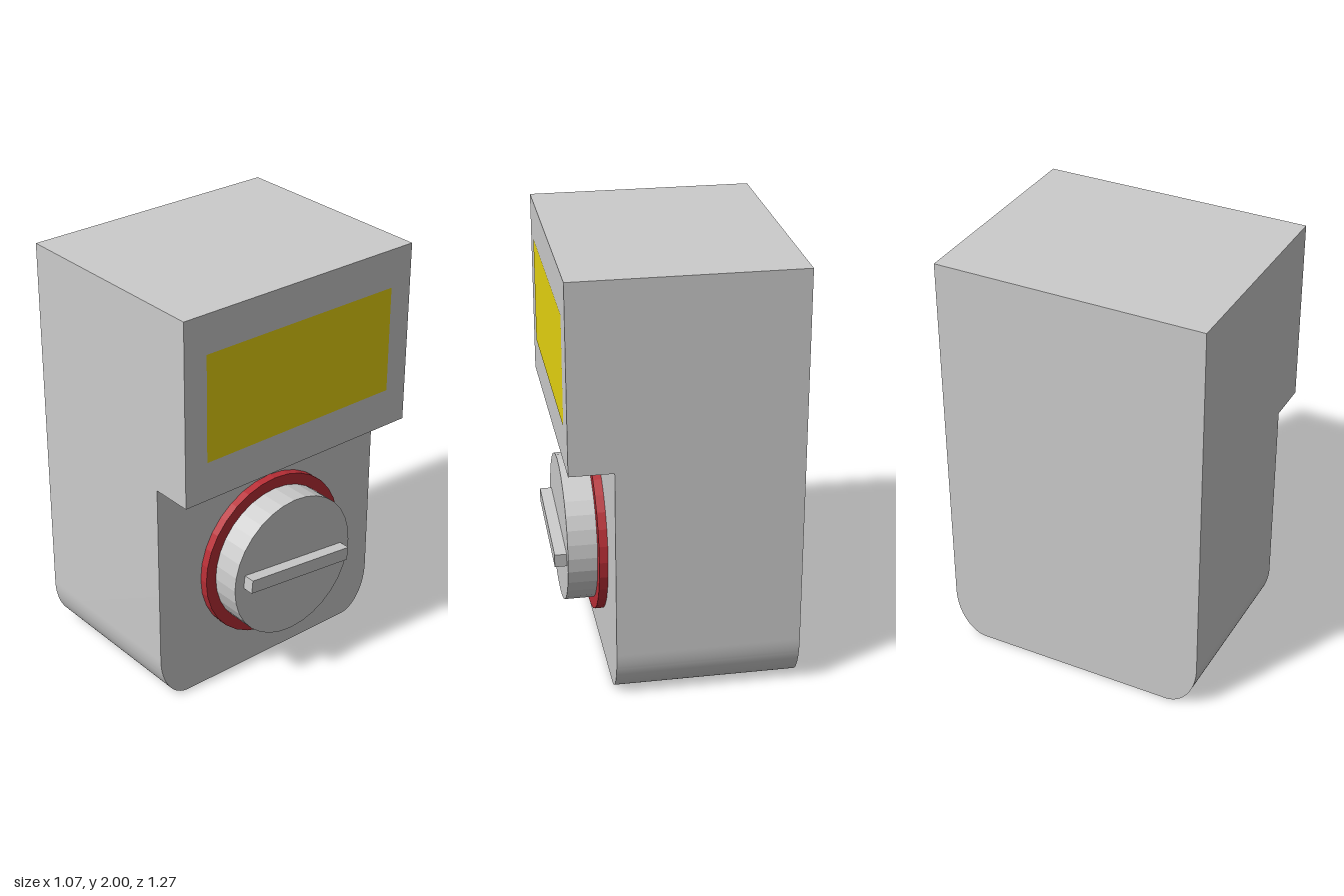
import * as THREE from 'three';
import { toCreasedNormals } from 'three/addons/utils/BufferGeometryUtils.js';

export function createModel() {
  const model = new THREE.Group();
  model.name = 'wallUnit';
  const grey = new THREE.MeshStandardMaterial({ color: 0xcccccc });
  const greyFlat = new THREE.MeshStandardMaterial({ color: 0xcccccc, flatShading: true });
  const red = new THREE.MeshStandardMaterial({ color: 0xb82e36, flatShading: true });
  const yellow = new THREE.MeshStandardMaterial({ color: 0xe6d310 });

  const add = (name, geometry, material, x, y, z = 0) => {
    const mesh = new THREE.Mesh(geometry, material);
    mesh.name = name;
    mesh.position.set(x, y, z);
    model.add(mesh);
    return mesh;
  };

  const back = -0.535, panel = 0.305, face = 0.505; // x of back, lower panel, upper face
  const half = 0.635, step = 1.13, dialY = 0.575;

  // Lower body: rounded bottom corners, extruded along x
  const rx = 0.155, ry = 0.23;
  const profile = new THREE.Shape();
  profile.moveTo(half, step);
  profile.lineTo(-half, step);
  profile.lineTo(-half, ry);
  profile.absellipse(-half + rx, ry, rx, ry, Math.PI, 1.5 * Math.PI, false);
  profile.lineTo(half - rx, 0);
  profile.absellipse(half - rx, ry, rx, ry, 1.5 * Math.PI, 2 * Math.PI, false);
  profile.closePath();
  const lower = new THREE.ExtrudeGeometry(profile, {
    depth: panel - back, bevelEnabled: false, curveSegments: 20,
  });
  lower.rotateY(Math.PI / 2);
  add('lowerBody', toCreasedNormals(lower, 0.5), grey, back, 0);

  // Upper body: overhangs the dial
  add('upperBody', new THREE.BoxGeometry(face - back, 2 - step, half * 2),
    grey, (face + back) / 2, (2 + step) / 2);

  // Display panel
  const display = new THREE.PlaneGeometry(1.04, 0.505);
  display.rotateY(Math.PI / 2);
  add('display', display, yellow, face + 0.002, 1.567);

  // Dial: red collar and grey knob, stacked outward along x
  const disc = (name, radius, x0, x1, material) => {
    const geometry = new THREE.CylinderGeometry(radius, radius, x1 - x0, 32);
    geometry.rotateZ(-Math.PI / 2);
    add(name, geometry, material, (x0 + x1) / 2, dialY);
  };
  disc('dialCollar', 0.4, panel, 0.345, red);
  disc('dialKnob', 0.345, 0.345, 0.48, greyFlat);

  // Slightly turned grip bar on the knob
  const grip = add('dialGrip', new THREE.BoxGeometry(0.055, 0.065, 0.583), grey, 0.5075, dialY);
  grip.rotation.x = -0.1;

  return model;
}
